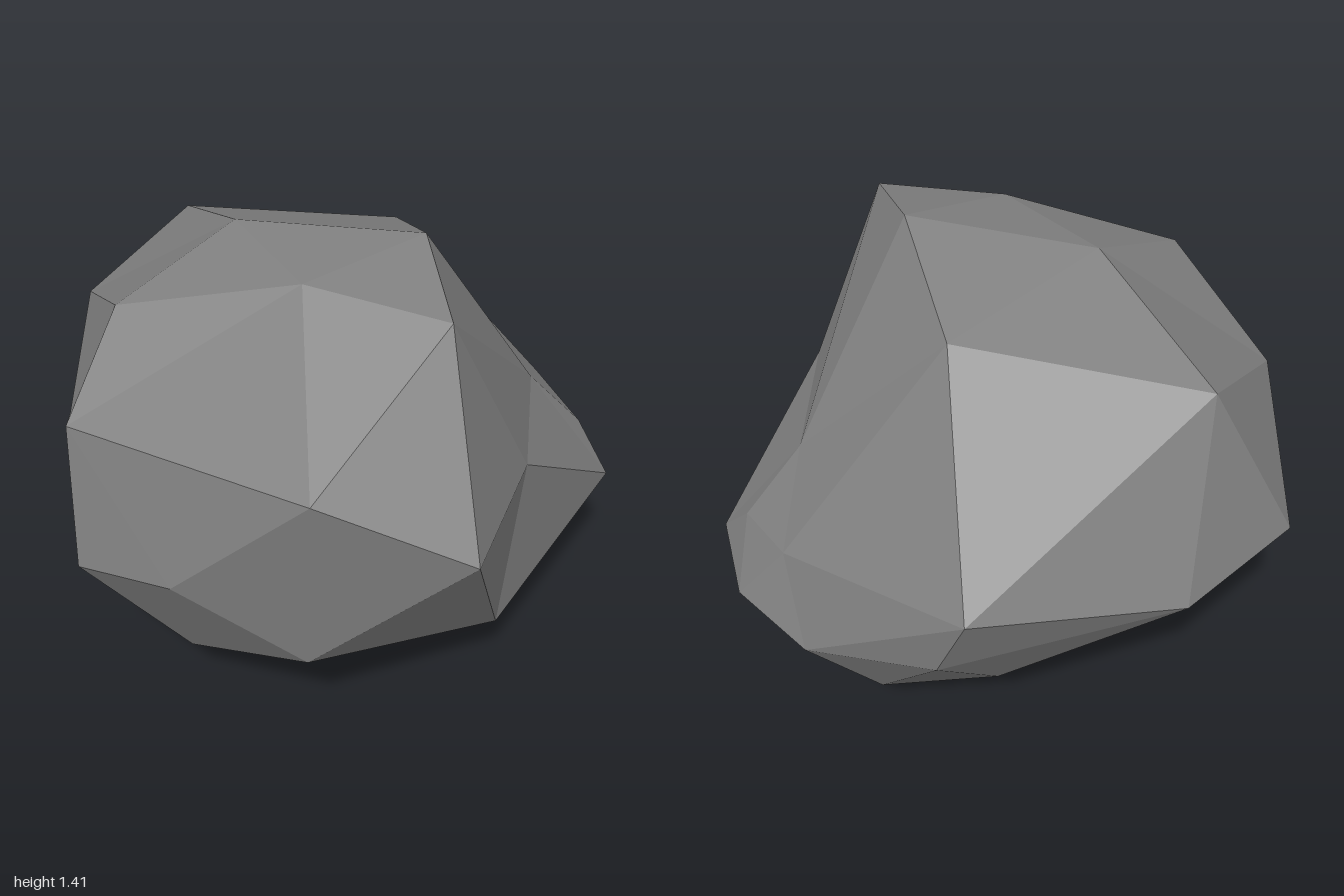
import * as THREE from 'three';
import { ConvexGeometry } from 'three/addons/geometries/ConvexGeometry.js';

// Corners of the boulder, grouped by region
const corners = [
  // crown
  [0.42, 1.33, 0.56], [0.30, 1.41, 0.165], [-0.01, 1.35, 0.44], [-0.30, 1.36, 0.05],
  [-0.58, 1.21, 0.39], [0.15, 1.25, -0.32], [-0.61, 1.18, -0.46],
  // front
  [0.12, 1.01, 1.0], [0.55, 0.81, 0.915], [-0.66, 0.95, 0.66], [-0.63, 0.53, 0.77],
  [-0.30, 0.61, 0.91], [0.09, 0.40, 0.91], [-0.32, 0.21, 0.70],
  // +x side, slightly hollow
  [0.60, 0.25, 0.47], [0.93, 0.42, -0.165], [0.80, 0.13, -0.29], [0.65, 0.775, 0.36],
  [0.64, 0.77, -0.18], [0.82, 0.56, -0.27], [0.66, 0.61, -0.51], [0.83, 0.40, -0.47],
  [0.63, 0.24, -0.46],
  // back
  [0.085, 0.80, -1.0], [0.17, 0.56, -0.93], [0.59, 0.375, -0.69], [0.37, 0.16, -0.64],
  [0.0, 0.32, -0.74], [-0.54, 0.67, -0.79],
  // -x side
  [-0.88, 0.70, -0.48], [-0.84, 1.02, -0.05], [-0.93, 0.52, -0.21], [-0.78, 0.80, 0.36],
  [-0.71, 0.49, 0.245],
  // underside
  [-0.50, 0.28, 0.28], [-0.44, 0.22, -0.42], [0.33, 0.06, 0.31], [0.03, 0.04, 0.14],
  [0.40, 0.0, -0.29], [0.08, 0.01, -0.42],
];

const CENTRE = new THREE.Vector3(0, 0.66, 0);
const ROUNDING = 0.3;

// Joins the corners on a nearly round shell, then returns each one to its own
// distance from the centre, so that hollow corners keep their facets too.
function facetedStone(points) {
  const shell = points.map((p) => {
    const v = new THREE.Vector3(...p).sub(CENTRE);
    return v.setLength(Math.pow(v.length(), ROUNDING));
  });
  const geometry = new ConvexGeometry(shell);
  const position = geometry.getAttribute('position');
  const v = new THREE.Vector3();
  for (let i = 0; i < position.count; i++) {
    v.fromBufferAttribute(position, i);
    v.setLength(Math.pow(v.length(), 1 / ROUNDING)).add(CENTRE);
    position.setXYZ(i, v.x, v.y, v.z);
  }
  geometry.computeVertexNormals(); // unshared corners give flat facets
  return geometry;
}

export function createModel() {
  const group = new THREE.Group();
  group.name = 'rock';

  const stoneGrey = new THREE.MeshStandardMaterial({ color: 0x808080 });
  stoneGrey.name = 'stone grey';

  const boulder = new THREE.Mesh(facetedStone(corners), stoneGrey);
  boulder.name = 'boulder';
  group.add(boulder);
  return group;
}
